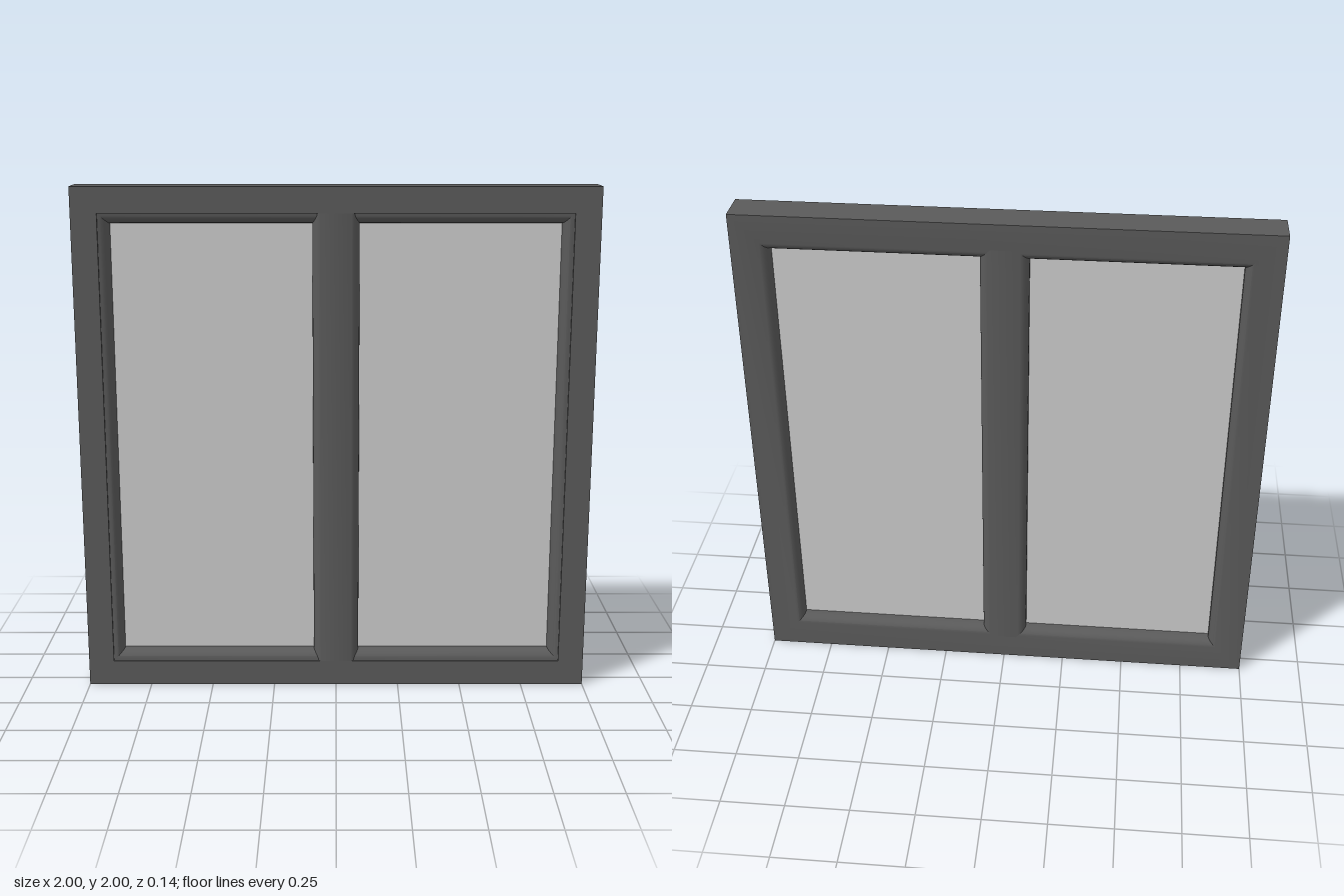
import * as THREE from 'three';
import { toCreasedNormals } from 'three/addons/utils/BufferGeometryUtils.js';

const D = 0.068; // half depth of the frame
const frameMat = new THREE.MeshStandardMaterial({ color: 0x5a5a5a });
const glassMat = new THREE.MeshStandardMaterial({ color: 0xcccccc });

// quarter-round bead from (s0, z0) to (s1, z1), tangent to the face at its start
function bead(s0, z0, s1, z1, n = 7) {
  return Array.from({ length: n + 1 }, (_, i) => {
    const a = (i / n) * Math.PI / 2;
    return [s0 + (s1 - s0) * Math.sin(a), z1 + (z0 - z1) * Math.cos(a)];
  });
}

// closed profile of [inset, z] swept round the square with mitred corners
function mitredFrame(profile) {
  const corners = [[-1, -1], [1, -1], [1, 1], [-1, 1]];
  const at = ([sx, sy], [s, z]) => [sx * (1 - s), 1 + sy * (1 - s), z];
  const pos = [];
  corners.forEach((c0, k) => {
    const c1 = corners[(k + 1) % 4];
    profile.forEach((a, i) => {
      const b = profile[(i + 1) % profile.length];
      const [a0, a1, b1, b0] = [at(c0, a), at(c1, a), at(c1, b), at(c0, b)];
      pos.push(...a0, ...a1, ...b1, ...a0, ...b1, ...b0);
    });
  });
  const g = new THREE.BufferGeometry();
  g.setAttribute('position', new THREE.Float32BufferAttribute(pos, 3));
  return toCreasedNormals(g, 0.6);
}

export function createModel() {
  const model = new THREE.Group();
  model.name = 'window';
  const add = (name, geometry, material) => {
    const mesh = new THREE.Mesh(geometry, material);
    mesh.name = name;
    model.add(mesh);
    return mesh;
  };

  // outer frame: stepped bead in front, plain rounded edge behind
  add('outerFrame', mitredFrame([
    [0, -D], [0, D], [0.1, D],
    ...bead(0.1, D - 0.008, 0.14, 0.015),
    ...bead(0.1, -D, 0.14, -0.03).reverse(),
  ]), frameMat);

  // central mullion with rounded edges on both faces
  const half = [...bead(0.05, -D, 0.09, -0.03), ...bead(0.05, D, 0.09, 0.015).reverse()];
  const outline = [...half, ...half.map(([x, z]) => [-x, z]).reverse()];
  const shape = new THREE.Shape(outline.map(([x, z]) => new THREE.Vector2(x, -z)));
  const bar = new THREE.ExtrudeGeometry(shape, { depth: 1.8, bevelEnabled: false });
  bar.rotateX(-Math.PI / 2).translate(0, 0.1, 0);
  add('mullion', toCreasedNormals(bar, 0.6), frameMat);

  // glass panes, tucked slightly into the frame
  for (const side of [-1, 1]) {
    const pane = add(side > 0 ? 'leftPane' : 'rightPane', new THREE.BoxGeometry(0.79, 1.74, 0.02), glassMat);
    pane.position.set(side * 0.475, 1, -0.005);
  }
  return model;
}
